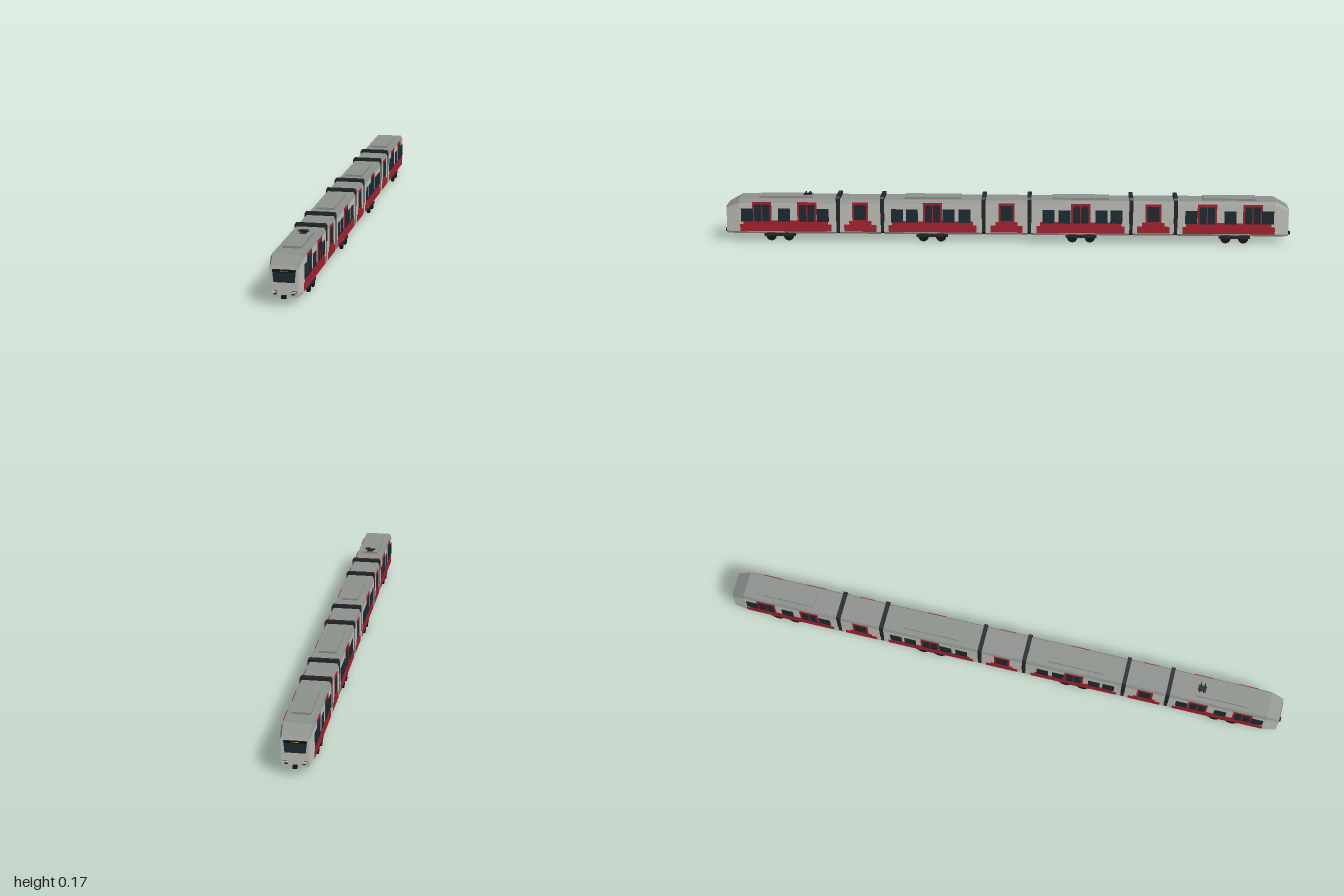
import * as THREE from 'three';

const mat = (color) => new THREE.MeshStandardMaterial({ color, flatShading: true });
const M = {
  body: mat(0xc2c2bb), roof: mat(0x8e928d), red: mat(0xa8222f), glass: mat(0x1b2a33),
  dark: mat(0x24272a), black: mat(0x121416), lamp: mat(0xe6dcae), amber: mat(0xd08a2c),
};

// Right half of each cross-section, from the floor up
const CAR = [[0.045, 0.026], [0.052, 0.034], [0.052, 0.137], [0.046, 0.15]];
const NOSE = [[0.041, 0.026], [0.0445, 0.034], [0.0445, 0.117], [0.041, 0.125]];
const BELLOWS = [[0.044, 0.028], [0.0515, 0.036], [0.053, 0.14], [0.053, 0.154], [0.049, 0.161]];

function mesh(name, geometry, material, x = 0, y = 0, z = 0) {
  const m = new THREE.Mesh(geometry, material);
  m.name = name;
  m.position.set(x, y, z);
  return m;
}

const box = (name, material, w, h, d, x, y, z) =>
  mesh(name, new THREE.BoxGeometry(w, h, d), material, x, y, z);

// Joins mirrored cross-sections, ordered from back to front; useEdge picks the strips to keep
function loft(sections, useEdge, caps) {
  const rings = sections.map(({ z, half }) => [
    ...half.map(([x, y]) => [x, y, z]),
    ...half.slice().reverse().map(([x, y]) => [-x, y, z]),
  ]);
  const p = [];
  const n = rings[0].length;
  for (let s = 0; s < rings.length - 1; s++) {
    for (let i = 0; i < n; i++) {
      if (!useEdge(i)) continue;
      const j = (i + 1) % n;
      const [a, b, c, d] = [rings[s][i], rings[s][j], rings[s + 1][j], rings[s + 1][i]];
      p.push(...a, ...b, ...c, ...a, ...c, ...d);
    }
  }
  if (caps) {
    const back = rings[0], front = rings[rings.length - 1];
    for (let i = 1; i < n - 1; i++) {
      p.push(...back[0], ...back[i + 1], ...back[i], ...front[0], ...front[i], ...front[i + 1]);
    }
  }
  const g = new THREE.BufferGeometry();
  g.setAttribute('position', new THREE.Float32BufferAttribute(p, 3));
  g.computeVertexNormals();
  return g;
}

// Car shell with a darker roof
function shell(sections) {
  const g = new THREE.Group();
  g.name = 'carShell';
  const isRoof = (i) => i >= 2 && i <= 4;
  g.add(mesh('carBody', loft(sections, (i) => !isRoof(i), true), M.body));
  g.add(mesh('carRoof', loft(sections, isRoof, false), M.roof));
  return g;
}

// Thin panel on both sides of the train, between z0..z1 and y0..y1
function sidePanels(group, name, material, z0, z1, y0, y1, proud) {
  for (const s of [1, -1]) {
    group.add(box(name, material, 0.002 + proud, y1 - y0, z1 - z0,
      s * (0.051 + proud / 2), (y0 + y1) / 2, (z0 + z1) / 2));
  }
}

const sideWindow = (g, z) => sidePanels(g, 'sideWindow', M.glass, z - 0.021, z + 0.021, 0.07, 0.117, 0.0014);

function doubleDoor(g, z) {
  sidePanels(g, 'doorFrame', M.red, z - 0.034, z + 0.034, 0.036, 0.14, 0.001);
  for (const s of [1, -1]) {
    const c = z + s * 0.0145;
    sidePanels(g, 'doorWindow', M.glass, c - 0.0125, c + 0.0125, 0.07, 0.131, 0.0016);
  }
}

function redBand(g, z0, z1, step) {
  sidePanels(g, 'lowerRedBand', M.red, z0, z1, 0.035, 0.06, 0.0006);
  sidePanels(g, 'upperRedBand', M.red, z0 + step, z1 - step, 0.06, 0.074, 0.0006);
}

const roofUnit = (g, z, len) => {
  g.add(box('roofUnit', M.roof, 0.06, 0.008, len, 0, 0.153, z));
};

function bogie(z) {
  const g = new THREE.Group();
  g.name = 'bogie';
  g.position.z = z;
  g.add(box('bogieFrame', M.dark, 0.07, 0.015, 0.1, 0, 0.0205, 0));
  for (const s of [1, -1]) {
    g.add(box('sideBeam', M.dark, 0.006, 0.01, 0.11, s * 0.045, 0.022, 0));
    const axle = mesh('axle', new THREE.CylinderGeometry(0.005, 0.005, 0.08, 10), M.dark, 0, 0.018, s * 0.031);
    axle.rotation.z = Math.PI / 2;
    g.add(axle);
    for (const x of [0.0425, -0.0425]) {
      const wheel = mesh('wheel', new THREE.CylinderGeometry(0.018, 0.018, 0.009, 16), M.black, x, 0.018, s * 0.031);
      wheel.rotation.z = Math.PI / 2;
      g.add(wheel);
    }
  }
  return g;
}

function shortCar(z, half) {
  const g = new THREE.Group();
  g.name = 'shortCar';
  g.add(shell([{ z: z - half, half: CAR }, { z: z + half, half: CAR }]));
  redBand(g, z - 0.057, z + 0.057, 0.018);
  sidePanels(g, 'doorFrame', M.red, z - 0.028, z + 0.028, 0.036, 0.14, 0.001);
  sidePanels(g, 'doorWindow', M.glass, z - 0.021, z + 0.021, 0.077, 0.131, 0.0016);
  return g;
}

function middleCar() {
  const g = new THREE.Group();
  g.name = 'middleCar';
  g.add(shell([{ z: 0.086, half: CAR }, { z: 0.431, half: CAR }]));
  redBand(g, 0.105, 0.415, 0.012);
  for (const z of [0.385, 0.333, 0.204, 0.147]) sideWindow(g, z);
  doubleDoor(g, 0.26);
  roofUnit(g, 0.26, 0.2);
  g.add(bogie(0.262));
  return g;
}

// Driver's end: windscreen, sign, lamps and coupler
function cabFront() {
  const g = new THREE.Group();
  g.name = 'cabFront';
  g.position.z = 0.988;
  const shape = new THREE.Shape([[-0.033, 0.072], [0.033, 0.072], [0.037, 0.113], [-0.037, 0.113]]
    .map(([x, y]) => new THREE.Vector2(x, y)));
  g.add(mesh('windscreen', new THREE.ExtrudeGeometry(shape, { depth: 0.0012, bevelEnabled: false }), M.glass));
  g.add(box('signPanel', M.black, 0.068, 0.008, 0.002, 0, 0.108, 0.001));
  g.add(box('signLight', M.amber, 0.024, 0.002, 0.001, 0, 0.108, 0.002));
  for (const s of [1, -1]) {
    g.add(box('headlampSurround', M.dark, 0.016, 0.007, 0.002, s * 0.03, 0.042, 0));
    g.add(box('headlamp', M.lamp, 0.014, 0.005, 0.002, s * 0.03, 0.042, 0.0006));
    g.add(box('lowerLamp', M.dark, 0.01, 0.0035, 0.002, s * 0.028, 0.035, 0));
  }
  g.add(box('coupler', M.black, 0.014, 0.01, 0.018, 0, 0.028, 0.003));
  return g;
}

function endCar() {
  const g = new THREE.Group();
  g.name = 'endCar';
  g.add(shell([{ z: 0.599, half: CAR }, { z: 0.942, half: CAR }, { z: 0.988, half: NOSE }]));
  redBand(g, 0.617, 0.94, 0.012);
  for (const z of [0.915, 0.784, 0.647]) sideWindow(g, z);
  for (const z of [0.862, 0.703]) doubleDoor(g, z);
  roofUnit(g, 0.782, 0.185);
  g.add(cabFront(), bogie(0.8));
  return g;
}

function bellows(z) {
  const m = mesh('bellows', loft([{ z: -0.007, half: BELLOWS }, { z: 0.007, half: BELLOWS }], () => true, true), M.dark);
  m.position.z = z;
  return m;
}

// Folded current collector on the leading roof unit
function pantograph() {
  const g = new THREE.Group();
  g.name = 'pantograph';
  g.position.set(0, 0.158, 0.705);
  g.add(box('collectorBase', M.dark, 0.022, 0.002, 0.028, 0, 0, 0));
  for (const z of [-0.007, 0.007]) g.add(box('contactStrip', M.black, 0.036, 0.002, 0.004, 0, 0.006, z));
  for (const s of [1, -1]) {
    const arm = box('collectorArm', M.dark, 0.002, 0.002, 0.03, s * 0.008, 0.003, 0);
    arm.rotation.x = 0.22;
    g.add(arm);
  }
  return g;
}

// One half of the train, from the centre car out to the cab
function halfTrain(name) {
  const g = new THREE.Group();
  g.name = name;
  g.add(middleCar(), shortCar(0.515, 0.072), endCar());
  for (const z of [0.08, 0.437, 0.593]) g.add(bellows(z));
  return g;
}

export function createModel() {
  const train = new THREE.Group();
  train.name = 'train';
  const rear = halfTrain('rearHalf');
  rear.rotation.y = Math.PI;
  train.add(halfTrain('frontHalf'), rear, shortCar(0, 0.074), pantograph());
  return train;
}
